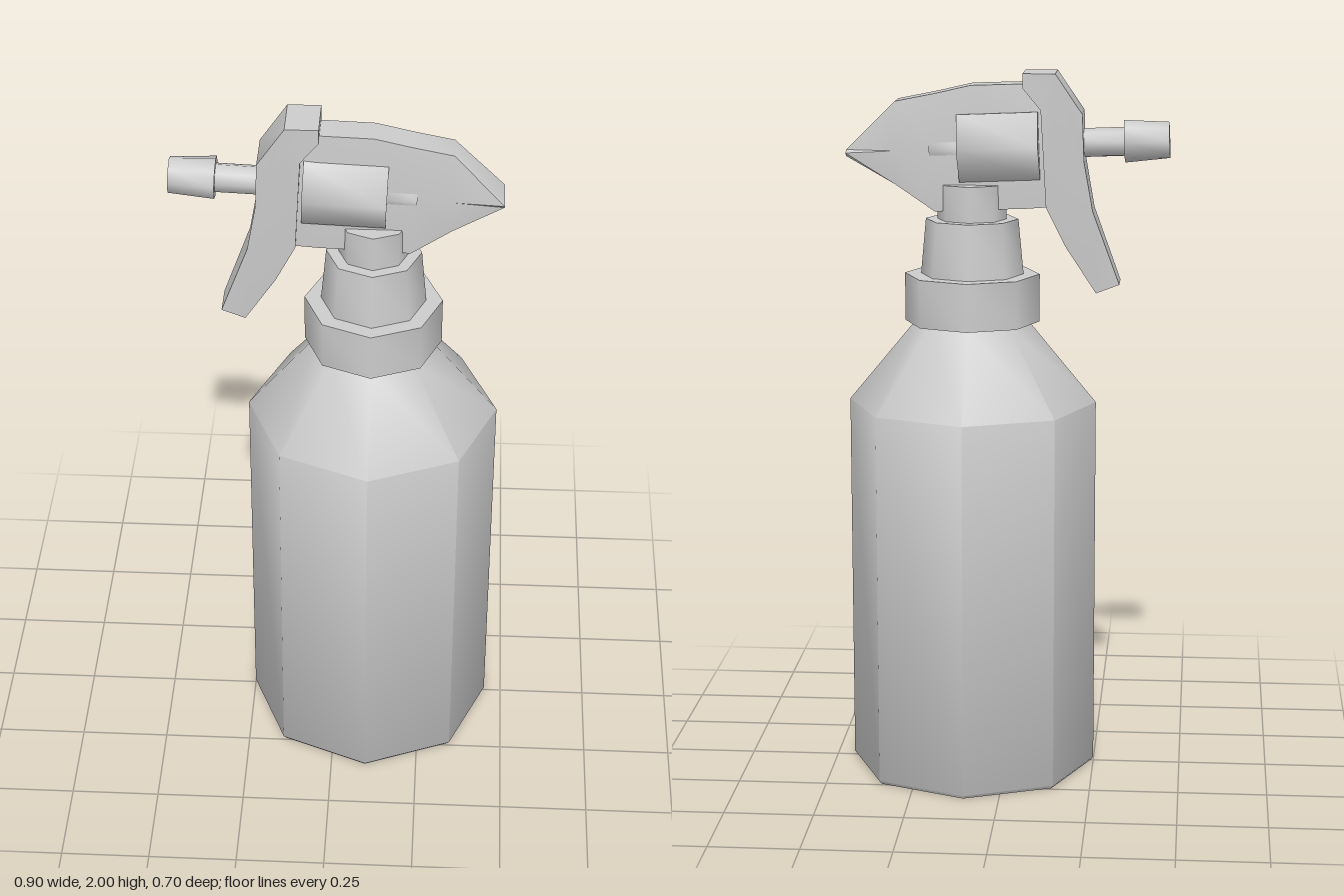
import * as THREE from 'three';
import { toCreasedNormals } from 'three/addons/utils/BufferGeometryUtils.js';

const material = new THREE.MeshStandardMaterial({ color: 0xcccccc });
const AXIS_X = 0.1; // the bottle stands to one side so the whole sprayer is centred

function part(name, geometry, crease = 0.9) {
  const mesh = new THREE.Mesh(toCreasedNormals(geometry, crease), material);
  mesh.name = name;
  return mesh;
}

// Upright turned part from [radius, height] pairs, listed bottom to top
function turned(name, profile) {
  const points = profile.map(([r, y]) => new THREE.Vector2(r, y));
  const mesh = part(name, new THREE.LatheGeometry(points, 8));
  mesh.position.x = AXIS_X;
  return mesh;
}

// Cylinder lying along x, from x0 to x1 with a radius at each end
function lying(name, x0, x1, r0, r1, sides) {
  const geometry = new THREE.CylinderGeometry(r0, r1, x1 - x0, sides);
  geometry.rotateZ(Math.PI / 2);
  geometry.translate((x0 + x1) / 2, 0, 0);
  return part(name, geometry, sides === 6 ? 1.1 : 0.9);
}

// Shroud: six-sided sections [x, top, middle, bottom] joined along x
function shroud() {
  const sections = [
    [-0.115, 1.88, 1.79, 1.63],
    [-0.05, 1.97, 1.79, 1.625],
    [0.1, 1.965, 1.79, 1.62],
    [0.2, 1.942, 1.788, 1.615],
    [0.31, 1.92, 1.784, 1.69],
    [0.447, 1.785, 1.777, 1.768],
  ];
  const position = [];
  const index = [];
  for (const [x, top, mid, low] of sections) {
    position.push(x, top, -0.042, x, top, 0.042, x, mid, 0.055);
    position.push(x, low, 0.046, x, low, -0.046, x, mid, -0.055);
  }
  const last = (sections.length - 1) * 6;
  for (let s = 0; s < last; s += 6) {
    for (let j = 0; j < 6; j++) {
      const k = (j + 1) % 6;
      index.push(s + j, s + k, s + 6 + k, s + j, s + 6 + k, s + 6 + j);
    }
  }
  for (let j = 1; j < 5; j++) {
    index.push(0, j + 1, j, last, last + j, last + j + 1);
  }
  const geometry = new THREE.BufferGeometry();
  geometry.setAttribute('position', new THREE.Float32BufferAttribute(position, 3));
  geometry.setIndex(index);
  return part('shroud', geometry, 0.6);
}

// Trigger: side outline extruded, then narrowed towards the finger tip
function trigger() {
  const outline = [
    [-0.135, 2], [-0.21, 1.89], [-0.215, 1.76], [-0.24, 1.62], [-0.315, 1.415],
    [-0.25, 1.39], [-0.165, 1.52], [-0.11, 1.63], [-0.095, 1.9], [-0.045, 1.96], [-0.045, 2],
  ].map(([x, y]) => new THREE.Vector2(x, y));
  const geometry = new THREE.ExtrudeGeometry(new THREE.Shape(outline), { depth: 2, bevelEnabled: false });
  geometry.translate(0, 0, -1);
  const p = geometry.attributes.position;
  for (let i = 0; i < p.count; i++) {
    const t = THREE.MathUtils.smoothstep(p.getY(i), 1.4, 1.85);
    p.setZ(i, p.getZ(i) * THREE.MathUtils.lerp(0.047, 0.066, t));
  }
  return part('trigger', geometry, 0.7);
}

export function createModel() {
  const model = new THREE.Group();
  model.name = 'sprayBottle';

  // Bottle with a hollowed base and sloping shoulder
  model.add(turned('bottle', [
    [0, 0.1], [0.33, 0.1], [0.342, 0], [0.35, 0.01], [0.35, 1.07], [0.16, 1.3], [0, 1.3],
  ]));

  // Screw collar, cap and neck
  model.add(turned('collar', [[0, 1.3], [0.19, 1.3], [0.19, 1.435], [0, 1.435]]));
  model.add(turned('cap', [[0, 1.43], [0.145, 1.43], [0.13, 1.59], [0, 1.59]]));
  model.add(turned('neck', [[0, 1.58], [0.097, 1.58], [0.097, 1.69], [0, 1.69]]));

  // Spray head
  model.add(shroud(), trigger());

  // Pump barrel and nozzle share one slightly tilted axis
  const pump = new THREE.Group();
  pump.name = 'pump';
  pump.add(
    lying('barrel', -0.11, 0.115, 0.108, 0.108, 6),
    lying('barrelEnd', 0.11, 0.195, 0.064, 0.064, 6),
    lying('nozzleRod', -0.36, -0.1, 0.04, 0.04, 8),
    lying('nozzleTip', -0.47, -0.345, 0.05, 0.059, 8),
  );
  pump.position.set(0.02, 1.796, 0);
  pump.rotation.z = -0.04;
  model.add(pump);

  return model;
}
